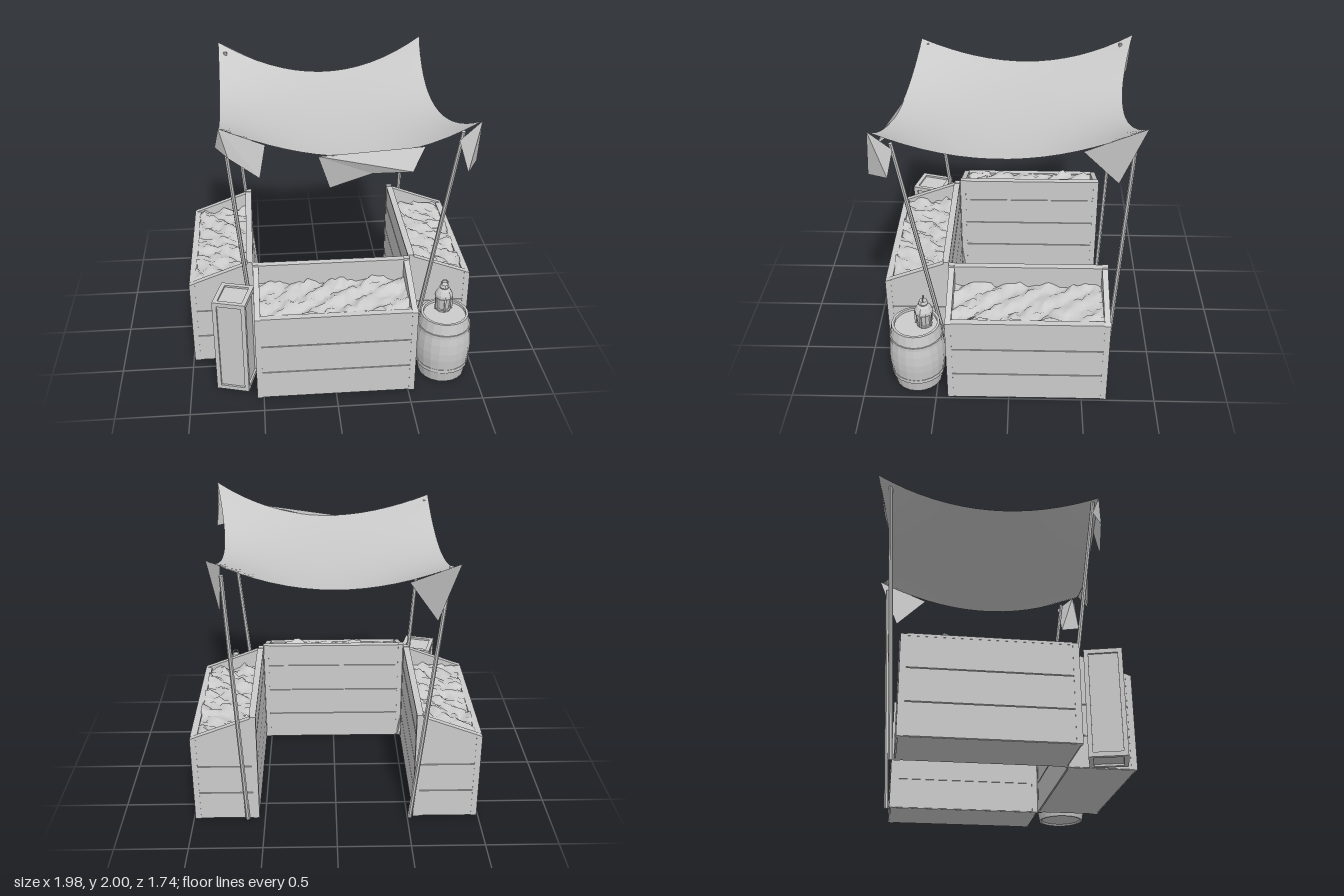
import * as THREE from 'three';

const grey = new THREE.MeshStandardMaterial({ color: 0xcccccc });
const flat = new THREE.MeshStandardMaterial({ color: 0xcccccc, flatShading: true });
const cloth = new THREE.MeshStandardMaterial({ color: 0xcccccc, side: THREE.DoubleSide });
const clothFlat = new THREE.MeshStandardMaterial({ color: 0xcccccc, side: THREE.DoubleSide, flatShading: true });

function add(parent, name, geometry, material = grey, x = 0, y = 0, z = 0) {
  const mesh = new THREE.Mesh(geometry, material);
  mesh.name = name;
  mesh.position.set(x, y, z);
  parent.add(mesh);
  return mesh;
}

// Box given by its minimum and maximum corners
function box(parent, name, a, b) {
  return add(parent, name, new THREE.BoxGeometry(b[0] - a[0], b[1] - a[1], b[2] - a[2]), grey,
    (a[0] + b[0]) / 2, (a[1] + b[1]) / 2, (a[2] + b[2]) / 2);
}

// Repeatable value in -1..1 for a grid point
function hash(i, j) {
  const s = Math.sin(i * 127.1 + j * 311.7) * 43758.5453;
  return (s - Math.floor(s)) * 2 - 1;
}

// Sloping display bin: low side faces +z, high side -z
function makeStall(name, seed) {
  const g = new THREE.Group();
  g.name = name;
  const X = 0.545, Z = 0.225, T = 0.04, LOW = 0.65, HIGH = 0.82, GAP = 0.003;
  const topAt = z => LOW + (HIGH - LOW) * (Z - z) / (2 * Z);
  const rows = [[0, 0.215], [0.215, 0.43], [0.43, LOW - 0.005]];

  box(g, 'base', [-X + 0.01, 0, -Z + 0.01], [X - 0.01, 0.6, Z - 0.01]);
  for (const [lo, hi] of rows) {
    box(g, 'frontPlank', [-X + T, lo + GAP, Z - T], [X - T, hi - GAP, Z - 0.002]);
    box(g, 'backPlank', [-X + T, lo + GAP, -Z + 0.002], [X - T, hi - GAP, -Z + T]);
  }
  box(g, 'backTopPlank', [-X + T, LOW - 0.005, -Z + 0.004], [X - T, HIGH - 0.018, -Z + T]);
  box(g, 'backRail', [-X + T, HIGH - 0.018, -Z], [X - T, HIGH - 0.004, -Z + T + 0.006]);
  box(g, 'frontRail', [-X + T, LOW - 0.014, Z - T - 0.006], [X - T, LOW + 0.004, Z]);

  // Side planks, the top one cut to the slope
  for (const sx of [-1, 1]) {
    const heights = [[0, 0.215], [0.215, 0.43], [0.43, 0]];
    for (const [lo, hi] of heights) {
      const zf = Z - T, zb = -Z + T;
      const s = new THREE.Shape([
        new THREE.Vector2(-zf, lo + GAP), new THREE.Vector2(-zb, lo + GAP),
        new THREE.Vector2(-zb, hi ? hi - GAP : topAt(zb)), new THREE.Vector2(-zf, hi ? hi - GAP : topAt(zf)),
      ]);
      const geo = new THREE.ExtrudeGeometry(s, { depth: T, bevelEnabled: false });
      geo.rotateY(Math.PI / 2);
      add(g, 'sidePlank', geo, grey, sx > 0 ? X - T - 0.002 : -X + 0.002);
    }
    // Corner posts with sloping tops
    for (const z0 of [-Z, Z - T]) {
      const post = box(g, 'cornerPost', [sx > 0 ? X - T : -X, 0, z0], [sx > 0 ? X : -X + T, 1, z0 + T]);
      const p = post.geometry.attributes.position;
      for (let i = 0; i < p.count; i++) {
        if (p.getY(i) > 0) p.setY(i, topAt(z0 < 0 ? -Z : p.getZ(i) + z0 + T / 2) - 0.5);
      }
      post.geometry.computeVertexNormals();
    }
  }

  // Heaped goods
  const heap = new THREE.PlaneGeometry(2 * (X - T), 2 * (Z - T), 36, 10).rotateX(-Math.PI / 2);
  const p = heap.attributes.position;
  for (let i = 0; i < p.count; i++) {
    const c = i % 37, r = Math.floor(i / 37);
    const bump = 0.019 * hash(Math.floor(c / 2) + seed, r) + 0.011 * hash(c + seed * 3, r + 40)
      + 0.012 * Math.sin(c * 0.75 + r * 1.3 + seed);
    p.setY(i, 0.66 - 0.05 * p.getZ(i) + bump);
  }
  heap.computeVertexNormals();
  add(g, 'heapedGoods', heap, cloth);
  return g;
}

// Framed crate with recessed panels on every side
function makeCrate() {
  const g = new THREE.Group();
  g.name = 'crate';
  const w = 0.114, d = 0.123, h = 0.72, t = 0.03, inset = 0.014;
  box(g, 'panels', [-w + inset, inset, -d + inset], [w - inset, h - inset, d - inset]);
  for (const a of [-1, 1]) {
    const x0 = a > 0 ? w - t : -w, z0 = a > 0 ? d - t : -d, y0 = a > 0 ? h - t : 0;
    for (const b of [-1, 1]) {
      const zz = b > 0 ? d - t : -d, yy = b > 0 ? h - t : 0;
      box(g, 'upright', [x0, 0, zz], [x0 + t, h, zz + t]);
      box(g, 'sideRail', [x0, yy, -d + t], [x0 + t, yy + t, d - t]);
      box(g, 'crossRail', [-w + t, yy, z0], [w - t, yy + t, z0 + t]);
    }
  }
  g.position.set(-0.68, 0, 0.65);
  g.rotation.y = -0.265;
  return g;
}

function lathe(points, sides) {
  return new THREE.LatheGeometry(points.map(q => new THREE.Vector2(q[0], q[1])), sides);
}

function makeBarrel() {
  const g = new THREE.Group();
  g.name = 'barrel';
  add(g, 'staves', lathe([[0, 0.012], [0.145, 0.012], [0.15, 0], [0.163, 0], [0.182, 0.1], [0.192, 0.19], [0.194, 0.25],
    [0.19, 0.32], [0.181, 0.39], [0.165, 0.485], [0.148, 0.485], [0.146, 0.468], [0, 0.468]], 20), flat);
  for (const y of [0.1, 0.39]) {
    add(g, 'hoop', lathe([[0.179, y - 0.013], [0.186, y - 0.013], [0.186, y + 0.013], [0.178, y + 0.013]], 20), flat);
  }
  g.position.set(0.775, 0, 0.64);
  return g;
}

function makeLantern() {
  const g = new THREE.Group();
  g.name = 'lantern';
  add(g, 'body', lathe([[0, 0], [0.052, 0], [0.055, 0.015], [0.048, 0.02], [0.058, 0.1], [0.064, 0.11], [0.062, 0.13],
    [0.045, 0.16], [0.03, 0.175], [0.034, 0.185], [0.026, 0.205], [0, 0.212]], 10), flat);
  for (let i = 0; i < 5; i++) {
    const a = i * Math.PI * 2 / 5;
    const bar = add(g, 'cageBar', new THREE.BoxGeometry(0.012, 0.1, 0.012), grey, Math.sin(a) * 0.058, 0.065, Math.cos(a) * 0.058);
    bar.rotation.y = a;
  }
  add(g, 'handleRing', new THREE.TorusGeometry(0.022, 0.005, 6, 14), grey, 0, 0.215, 0);
  g.position.set(0.775, 0.47, 0.58);
  return g;
}

// Sagging cloth stretched between four raised corners
function makeCanopy() {
  const N = 16;
  const geo = new THREE.PlaneGeometry(2, 2, N, N).rotateX(-Math.PI / 2);
  const corner = { bl: [-0.74, 1.97, -0.87], br: [0.78, 1.99, -0.83], fl: [-0.71, 1.94, 0.68], fr: [0.87, 2.0, 0.83] };
  const p = geo.attributes.position;
  for (let i = 0; i < p.count; i++) {
    const u = p.getX(i), v = p.getZ(i), s = (u + 1) / 2, t = (v + 1) / 2;
    const mix = k => (1 - t) * ((1 - s) * corner.bl[k] + s * corner.br[k]) + t * ((1 - s) * corner.fl[k] + s * corner.fr[k]);
    const x = mix(0) - 0.07 * (1 - v * v) * Math.max(u, 0);
    const z = mix(2) + 0.1 * (1 - u * u) * Math.max(-v, 0);
    const rise = 0.05 * (u * u + v * v) + 0.16 * u * u * v * v;
    p.setXYZ(i, x, 1.71 + rise + (mix(1) - 1.97) * u * u * v * v, z);
  }
  geo.computeVertexNormals();
  return geo;
}

// Fan of triangles through the given points
function flap(points) {
  const pos = [];
  for (let i = 1; i < points.length - 1; i++) pos.push(...points[0], ...points[i], ...points[i + 1]);
  const geo = new THREE.BufferGeometry();
  geo.setAttribute('position', new THREE.Float32BufferAttribute(pos, 3));
  geo.computeVertexNormals();
  return geo;
}

function makePole(from, to) {
  const path = new THREE.LineCurve3(new THREE.Vector3(...from), new THREE.Vector3(...to));
  const mid = path.getPoint(0.5);
  const geo = new THREE.CylinderGeometry(0.014, 0.016, path.getLength(), 7);
  const mesh = new THREE.Mesh(geo, flat);
  mesh.name = 'pole';
  mesh.position.copy(mid);
  mesh.quaternion.setFromUnitVectors(new THREE.Vector3(0, 1, 0), path.getTangent(0).normalize());
  return mesh;
}

export function createModel() {
  const model = new THREE.Group();
  model.name = 'marketStall';

  // Three bins around an open back
  const bins = [['frontBin', 0, 0.645, 0], ['leftBin', 0.765, -0.125, Math.PI / 2], ['rightBin', -0.765, -0.125, -Math.PI / 2]];
  bins.forEach(([name, x, z, turn], i) => {
    const bin = makeStall(name, 5 + i * 17);
    bin.position.set(x, 0, z);
    bin.rotation.y = turn;
    model.add(bin);
  });
  model.add(makeCrate(), makeBarrel(), makeLantern());

  // Leaning poles, foot to top
  model.add(
    makePole([-0.53, 0.01, 0.415], [-0.685, 1.91, 0.64]),
    makePole([0.58, 0.01, 0.44], [0.79, 1.88, 0.71]),
    makePole([-0.515, 0.01, -0.69], [-0.69, 1.92, -0.78]),
    makePole([0.62, 0.01, -0.69], [0.7, 1.87, -0.77]),
  );

  // Canopy and its loose hanging ends
  add(model, 'canopy', makeCanopy(), cloth);
  const flaps = [
    [[-0.71, 1.94, 0.68], [-0.74, 1.79, 0.62], [-0.66, 1.75, 0.7], [-0.47, 1.62, 0.73], [-0.43, 1.83, 0.7]],
    [[-0.11, 1.755, 0.73], [-0.035, 1.52, 0.7], [0.22, 1.65, 0.78], [0.46, 1.69, 0.86], [0.54, 1.83, 0.8], [0.2, 1.76, 0.76]],
    [[0.87, 2.0, 0.83], [0.74, 1.87, 0.82], [0.8, 1.67, 0.86], [0.88, 1.69, 0.73], [0.85, 1.87, 0.69]],
    [[0.78, 1.99, -0.83], [0.73, 1.58, -0.68], [0.74, 1.81, -0.45]],
    [[-0.74, 1.97, -0.87], [-0.63, 1.55, -0.76], [-0.44, 1.83, -0.81]],
  ];
  flaps.forEach(points => add(model, 'hangingFlap', flap(points), clothFlat));
  return model;
}
